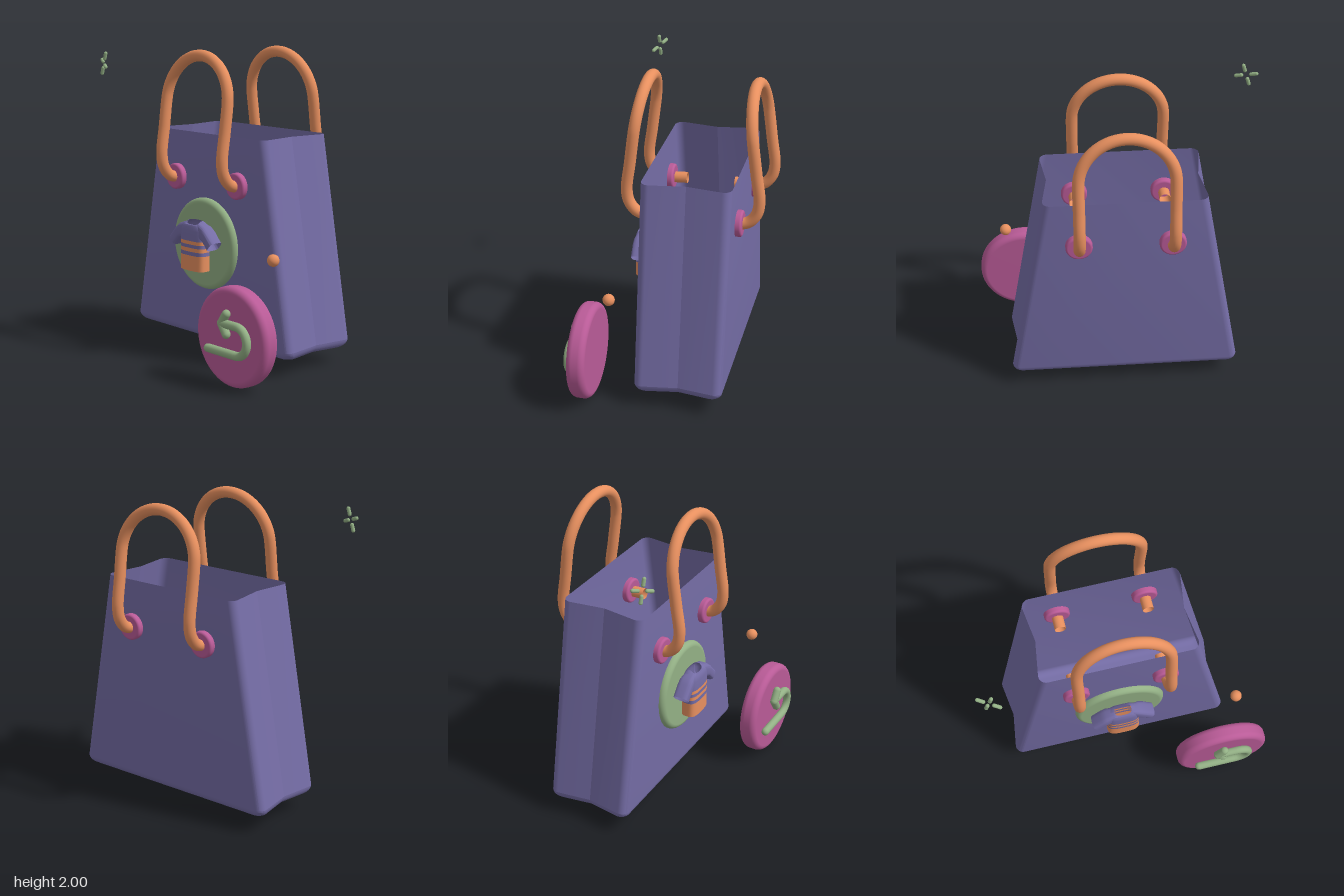
import * as THREE from 'three';
import { toCreasedNormals } from 'three/addons/utils/BufferGeometryUtils.js';

const V = (x, y, z = 0) => new THREE.Vector3(x, y, z);
const mat = (color) => new THREE.MeshStandardMaterial({ color, side: THREE.DoubleSide });
const purple = mat(0x756da6), orange = mat(0xe8905f), pink = mat(0xb95b97), green = mat(0x93b085);

function add(parent, name, geometry, material, x = 0, y = 0, z = 0) {
  const mesh = new THREE.Mesh(geometry, material);
  mesh.name = name;
  mesh.position.set(x, y, z);
  parent.add(mesh);
  return mesh;
}

// Skin closed rings of points, stacked along the part
function loft(rings, crease) {
  const n = rings[0].length, pos = [], index = [];
  rings.forEach((ring) => ring.forEach((p) => pos.push(p.x, p.y, p.z)));
  for (let i = 0; i < rings.length - 1; i++) {
    for (let j = 0; j < n; j++) {
      const a = i * n + j, b = i * n + (j + 1) % n, c = a + n, d = b + n;
      index.push(a, c, b, b, c, d);
    }
  }
  const g = new THREE.BufferGeometry();
  g.setAttribute('position', new THREE.Float32BufferAttribute(pos, 3));
  g.setIndex(index);
  return toCreasedNormals(g, crease);
}

// Disc facing z with rounded rims, centred on its own middle
function roundDisc(radius, depth, bevel) {
  const pts = [new THREE.Vector2(0, -depth / 2)];
  for (const s of [-1, 1]) {
    for (let i = 0; i <= 8; i++) {
      const a = (s < 0 ? i - 8 : i) / 8 * Math.PI / 2;
      pts.push(new THREE.Vector2(radius - bevel + bevel * Math.cos(a), s * (depth / 2 - bevel) + bevel * Math.sin(a)));
    }
  }
  pts.push(new THREE.Vector2(0, depth / 2));
  return new THREE.LatheGeometry(pts, 64).rotateX(Math.PI / 2);
}

// Capsule between two points
function rod(parent, name, a, b, r, material) {
  const dir = b.clone().sub(a), mid = a.clone().add(b).multiplyScalar(0.5);
  const mesh = add(parent, name, new THREE.CapsuleGeometry(r, dir.length(), 8, 16), material, mid.x, mid.y, mid.z);
  mesh.quaternion.setFromUnitVectors(V(0, 1, 0), dir.normalize());
}

// Bag outline at one height: rounded corners, sides folded inwards
function bagRing(y, w, d) {
  const r = 0.05, tilt = 0.14, quarter = [];
  quarter.push([w - 0.033, 0]);
  for (let i = 0; i <= 8; i++) {
    const a = -tilt + i / 8 * (Math.PI / 2 + tilt);
    quarter.push([w - r + r * Math.cos(a), d - r + r * Math.sin(a)]);
  }
  const back = quarter.slice(1).reverse();
  return [
    ...quarter.map(([x, z]) => V(x, y, z)),
    ...back.map(([x, z]) => V(-x, y, z)),
    ...quarter.map(([x, z]) => V(-x, y, -z)),
    ...back.map(([x, z]) => V(x, y, -z)),
  ];
}

function createBag() {
  const bag = new THREE.Group();
  bag.name = 'bag';
  const bottom = 0.105, top = 1.465, r = 0.055, rings = [];
  rings.push(bagRing(bottom, 0.69, 0.23).map(() => V(0, bottom, 0)));
  for (let i = 0; i <= 8; i++) {
    const a = i / 8 * Math.PI / 2, inset = r * (1 - Math.sin(a));
    rings.push(bagRing(bottom + r * (1 - Math.cos(a)), 0.745 - inset, 0.285 - inset));
  }
  rings.push(bagRing(top, 0.51, 0.285));
  add(bag, 'bagBody', loft(rings, 0.25), purple);

  // Same handle and grommets on the front and the back
  for (const turn of [0, Math.PI]) {
    const side = new THREE.Group();
    side.name = turn ? 'backHandleSet' : 'frontHandleSet';
    side.rotation.y = turn;
    const w = 0.293, arch = [];
    const leg = [[1.16, 0.16], [1.157, 0.23], [1.157, 0.3], [1.175, 0.36], [1.235, 0.408], [1.32, 0.423], [1.5, 0.4]];
    for (let i = 0; i <= 16; i++) {
      const a = Math.PI * (1 - i / 16), y = 1.672 + w * Math.sin(a);
      arch.push(V(w * Math.cos(a), y, 0.423 - 0.129 * (y - 1.32)));
    }
    const path = new THREE.CatmullRomCurve3([
      ...leg.map(([y, z]) => V(-w, y, z)), ...arch,
      ...leg.slice().reverse().map(([y, z]) => V(w, y, z)),
    ], false, 'centripetal');
    add(side, 'handle', new THREE.TubeGeometry(path, 160, 0.037, 20), orange);
    for (const x of [-w, w]) add(side, 'grommet', roundDisc(0.085, 0.08, 0.015), pink, x, 1.16, 0.285);
    bag.add(side);
  }
  bag.position.set(-0.021, 0, -0.13);
  return bag;
}

// Flattened hoop spanning a to b in xy, thick in z; dip lowers its front
function hoop(a, b, depth, dip = 0) {
  const mid = a.clone().add(b).multiplyScalar(0.5), half = a.clone().sub(mid), pts = [];
  const soft = (t) => Math.sign(t) * Math.abs(t) ** 0.6;
  for (let i = 0; i < 40; i++) {
    const t = i / 40 * Math.PI * 2, c = soft(Math.cos(t)), s = soft(Math.sin(t));
    pts.push(V(mid.x + half.x * c, mid.y + half.y * c - dip * Math.max(0, s), depth * s));
  }
  return pts;
}

function createShirt() {
  const shirt = new THREE.Group();
  shirt.name = 'shirt';
  const level = (y, w, d, dip) => hoop(V(w, y), V(-w, y), d, dip);
  // Striped torso, open at the hem
  const cuts = [0.59, 0.69, 0.715, 0.74, 0.762, 0.785];
  for (let i = 0; i < 5; i++) {
    add(shirt, 'torsoBand', loft([level(cuts[i], 0.108, 0.054), level(cuts[i + 1], 0.108, 0.054)], 0.8), i % 2 ? purple : orange);
  }
  // Shoulders up to the open neck
  add(shirt, 'shoulders', loft([
    level(0.785, 0.108, 0.054), level(0.85, 0.108, 0.053), level(0.88, 0.098, 0.049, 0.005),
    level(0.9, 0.08, 0.042, 0.012), level(0.912, 0.056, 0.03, 0.024),
  ], 0.8), purple);
  // Sleeves
  for (const s of [1, -1]) {
    const sleeve = add(shirt, s > 0 ? 'rightSleeve' : 'leftSleeve', loft([
      hoop(V(-0.062, 0.905), V(-0.065, 0.8), 0.04), hoop(V(-0.115, 0.887), V(-0.1, 0.79), 0.05),
      hoop(V(-0.15, 0.858), V(-0.115, 0.785), 0.051), hoop(V(-0.21, 0.792), V(-0.16, 0.735), 0.05),
    ], 0.8), purple);
    sleeve.scale.x = s;
  }
  shirt.position.set(-0.03, 0, 0.255);
  return shirt;
}

function createReturnBadge() {
  const badge = new THREE.Group();
  badge.name = 'returnBadge';
  add(badge, 'badgeDisc', roundDisc(0.312, 0.12, 0.04), pink, 0, 0, 0.48);
  // U-turn arrow
  const r = 0.027, z = 0.561, R = 0.09, cx = 0.085;
  const bend = new THREE.CurvePath();
  const arc = [];
  for (let i = 0; i <= 12; i++) {
    const a = -Math.PI / 2 + i / 12 * Math.PI;
    arc.push(V(cx + R * Math.cos(a), R * Math.sin(a), z));
  }
  bend.add(new THREE.CatmullRomCurve3(arc));
  add(badge, 'arrowBend', new THREE.TubeGeometry(bend, 40, r, 16), green);
  const tip = V(-0.048, R, z);
  rod(badge, 'arrowTail', V(-0.17, -R, z), V(cx, -R, z), r, green);
  rod(badge, 'arrowShaft', tip, V(cx, R, z), r, green);
  rod(badge, 'arrowBarb', tip, V(-0.005, R + 0.063, z), r, green);
  rod(badge, 'arrowBarb', tip, V(-0.005, R - 0.063, z), r, green);
  badge.position.set(0.613, 0.315, 0);
  return badge;
}

export function createModel() {
  const model = new THREE.Group();
  model.name = 'shoppingBag';
  model.add(createBag(), createShirt(), createReturnBadge());
  add(model, 'emblemDisc', roundDisc(0.3, 0.11, 0.035), green, -0.03, 0.748, 0.138);
  add(model, 'floatingBall', new THREE.SphereGeometry(0.038, 32, 20), orange, 0.735, 0.777, 0.295);

  // Four-armed sparkle
  const centre = V(-0.853, 1.88, 0.348);
  const sparkle = new THREE.Group();
  sparkle.name = 'sparkle';
  for (const arm of [V(0.29, 0.95, 0), V(0.85, -0.3, 0.43)]) {
    for (const s of [1, -1]) {
      rod(sparkle, 'sparkleArm', arm.clone().multiplyScalar(0.033 * s), arm.clone().multiplyScalar(0.071 * s), 0.012, green);
    }
  }
  sparkle.position.copy(centre);
  model.add(sparkle);
  return model;
}
